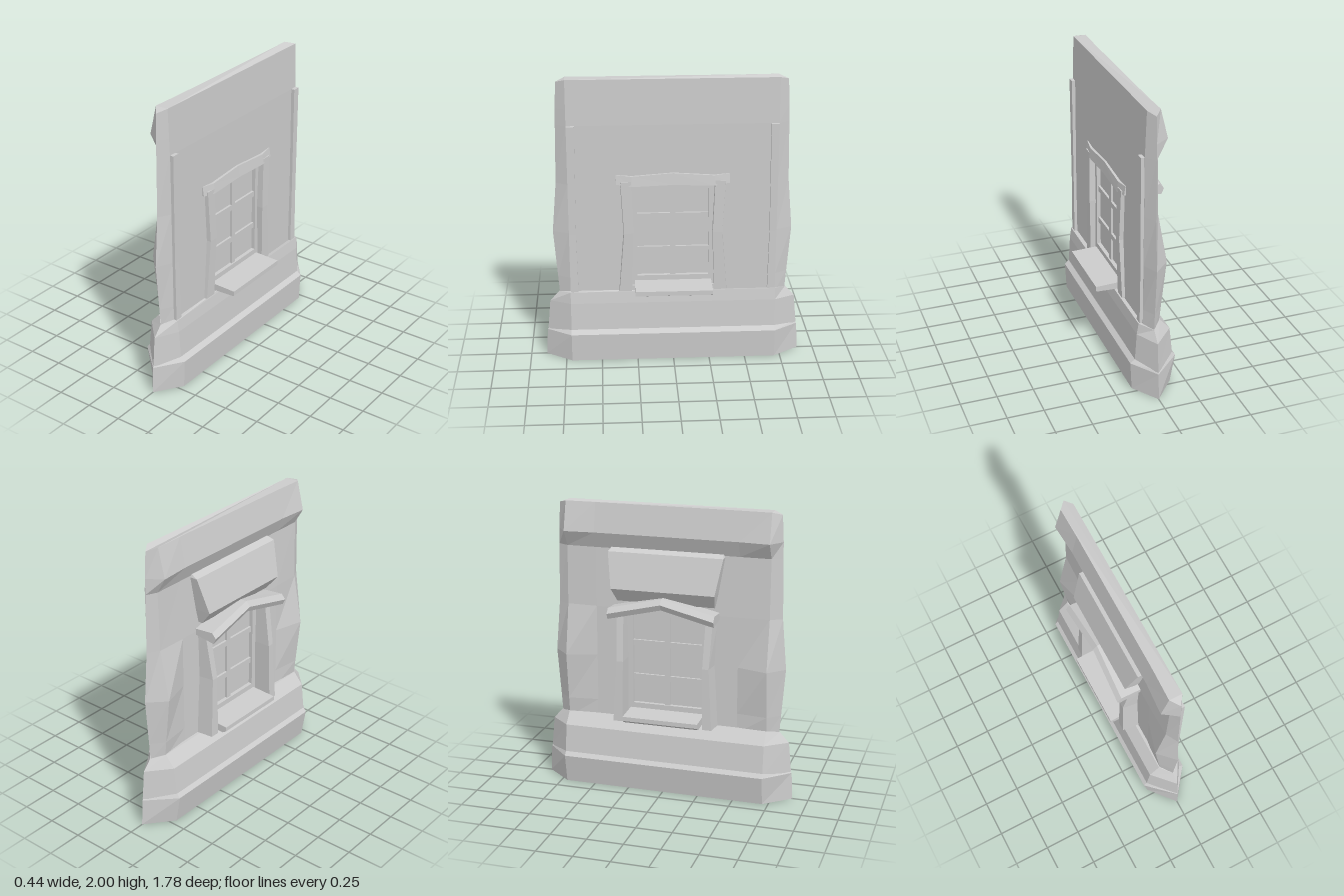
import * as THREE from 'three';

const mat = new THREE.MeshStandardMaterial({ color: 0xcccccc, flatShading: true, side: THREE.DoubleSide });

// Skin a list of equal-length rings (counter-clockwise seen from the last ring's end)
function loft(rings, capStart = true, capEnd = true) {
  const out = [];
  const tri = (a, b, c) => out.push(...a, ...b, ...c);
  const n = rings[0].length;
  for (let i = 0; i < rings.length - 1; i++) {
    for (let j = 0; j < n; j++) {
      const k = (j + 1) % n;
      tri(rings[i][j], rings[i][k], rings[i + 1][k]);
      tri(rings[i][j], rings[i + 1][k], rings[i + 1][j]);
    }
  }
  const first = rings[0], last = rings[rings.length - 1];
  for (let j = 1; j < n - 1; j++) {
    if (capStart) tri(first[0], first[j + 1], first[j]);
    if (capEnd) tri(last[0], last[j], last[j + 1]);
  }
  const g = new THREE.BufferGeometry();
  g.setAttribute('position', new THREE.Float32BufferAttribute(out, 3));
  g.computeVertexNormals();
  return g;
}

// Mirror rings across z = 0, keeping the winding
const mirrorZ = rings => rings.map(r => r.map(([x, y, z]) => [x, y, -z]).reverse());

// Whole wall section: back face x, front face x, pointed ends
function wallRing([y, corner, mid, front, tip, tipY = y]) {
  return [
    [front, y, 0.71], [front, y, -0.71], [0, tipY, -tip], [corner, y, -0.71],
    [mid, y, -0.5], [mid, y, 0.5], [corner, y, 0.71], [0, tipY, tip],
  ];
}

export function createModel() {
  const root = new THREE.Group();
  const add = (name, geo, parent = root) => {
    const m = new THREE.Mesh(geo, mat);
    m.name = name;
    parent.add(m);
  };
  const box = (name, x0, x1, y0, y1, z0, z1, parent) => {
    const g = new THREE.BoxGeometry(x1 - x0, y1 - y0, z1 - z0);
    g.translate((x0 + x1) / 2, (y0 + y1) / 2, (z0 + z1) / 2);
    add(name, g, parent);
  };
  const pair = (name, rings) => {
    add(name + 'Front', loft(rings));
    add(name + 'Back', loft(mirrorZ(rings)));
  };

  // Stepped plinth, hollow underneath
  add('plinthBase', loft([
    [0, -0.15, -0.15, 0.125, 0.89],
    [0.2, -0.185, -0.185, 0.135, 0.88, 0.19],
    [0.23, -0.16, -0.16, 0.1, 0.86, 0.21],
  ].map(wallRing), false, true));
  add('plinthUpper', loft([
    [0.2, -0.165, -0.165, 0.105, 0.875],
    [0.42, -0.14, -0.14, 0.092, 0.855, 0.41],
    [0.5, -0.07, -0.07, 0.08, 0.79, 0.48],
  ].map(wallRing)));

  // Wall above the window, with the swelling band along its top
  add('wallUpper', loft([
    [1.28, -0.045, -0.05, 0.05, 0.79],
    [1.69, -0.035, -0.035, 0.05, 0.782],
    [1.8, -0.1, -0.085, 0.047, 0.78],
    [2, -0.05, -0.045, 0.04, 0.77, 1.98],
  ].map(wallRing)));
  box('wallBelowWindow', -0.06, 0.05, 0.45, 0.53, -0.3, 0.3);

  // Wall either side of the window, bulging at the corners
  pair('wallSide', [
    [0.46, -0.06, 0.785], [0.6, -0.075, 0.795], [0.93, -0.11, 0.82], [1.28, -0.045, 0.79],
  ].map(([y, corner, tip]) => [
    [0.05, y, 0.71], [0.05, y, 0.29], [-0.05, y, 0.29], [-0.05, y, 0.5],
    [corner, y, 0.71], [0, y, tip],
  ]));

  // Thin corner strips on the inner face
  pair('cornerStrip', [
    [0.5, 0.072, 0.655], [0.93, 0.07, 0.662], [1.69, 0.075, 0.655],
  ].map(([y, x, z]) => [[x, y, 0.708], [x, y, z], [0.03, y, z], [0.03, y, 0.708]]));

  // Inner window surround: waisted jambs and a slightly arched head
  pair('innerJamb', [
    [0.5, 0.07, 0.285, 0.38], [0.93, 0.08, 0.27, 0.345], [1.3, 0.075, 0.285, 0.365],
  ].map(([y, x, zi, zo]) => [[x, y, zo - 0.01], [x, y, zi], [0, y, zi], [0, y, zo]]));
  add('innerHead', loft([
    [-0.385, 1.28, 1.345, 0.065], [-0.28, 1.265, 1.335, 0.078], [0, 1.275, 1.355, 0.075],
    [0.28, 1.265, 1.335, 0.078], [0.385, 1.28, 1.345, 0.065],
  ].map(([z, y0, y1, x]) => [[x, y0, z], [x - 0.01, y1, z], [0.03, y1, z], [0.03, y0, z]])));

  // Outer window surround: jambs that lean inward as they rise
  pair('outerJamb', [
    [0.5, -0.165, 0.285, 0.37], [0.93, -0.155, 0.28, 0.345], [1.3, -0.1, 0.29, 0.36],
  ].map(([y, x, zi, zo]) => [[0, y, zo], [0, y, zi], [x, y, zi], [x, y, zo - 0.02]]));

  // Peaked hood over the outer side of the window
  add('hood', loft([
    [-0.37, 0, -0.2], [0, 0.085, -0.185], [0.37, 0, -0.2],
  ].map(([z, dy, x]) => [
    [-0.03, 1.26 + dy, z], [-0.03, 1.3 + dy, z], [x + 0.01, 1.315 + dy, z],
    [x - 0.02, 1.28 + dy, z], [x, 1.24 + dy, z],
  ])));

  // Leaning block above the hood
  add('hoodBlock', loft([
    [1.34, -0.08, 0.34], [1.44, -0.16, 0.36], [1.68, -0.09, 0.4], [1.7, -0.04, 0.39],
  ].map(([y, x, z]) => [[0, y, z], [0, y, -z], [x, y, -z], [x, y, z]])));

  // Sill passing through the wall
  add('sill', loft([-0.265, 0.265].map(z => [
    [0.21, 0.52, z], [0.22, 0.525, z], [0.22, 0.557, z], [0, 0.565, z],
    [-0.22, 0.555, z], [-0.22, 0.525, z], [-0.19, 0.505, z], [0, 0.52, z],
  ])));

  // Window: panel, frame and glazing bars
  const win = new THREE.Group();
  win.name = 'window';
  root.add(win);
  box('glass', -0.008, 0.008, 0.55, 1.28, -0.28, 0.28, win);
  for (const s of [-1, 1]) {
    box('frameSide', -0.035, 0.035, 0.53, 1.29, s * 0.268 - 0.023, s * 0.268 + 0.023, win);
  }
  box('frameBottom', -0.035, 0.035, 0.53, 0.6, -0.27, 0.27, win);
  box('frameTop', -0.035, 0.035, 1.235, 1.29, -0.27, 0.27, win);
  box('uprightBar', -0.025, 0.025, 0.58, 1.25, -0.018, 0.018, win);
  for (const y of [0.79, 1.035]) box('crossBar', -0.024, 0.024, y - 0.02, y + 0.02, -0.25, 0.25, win);

  return root;
}
